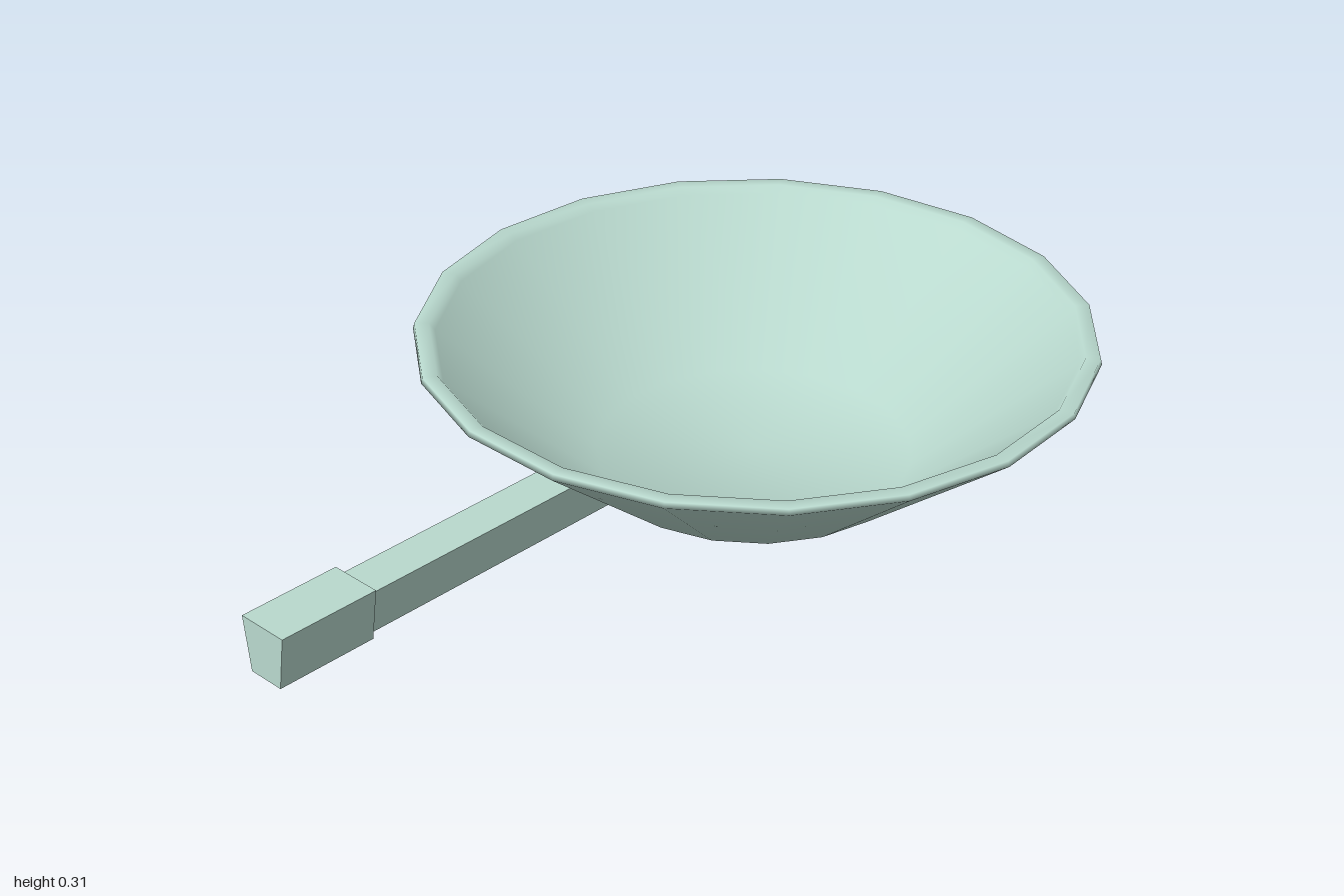
import * as THREE from 'three';

const SIDES = 19;

// Box whose corners are moved: narrower underside, optional slanted rear end
function taperedBar(halfTop, halfBottom, yBottom, yTop, zBackBottom, zBackTop, zFront) {
  const geometry = new THREE.BoxGeometry(1, 1, 1);
  const p = geometry.attributes.position;
  for (let i = 0; i < p.count; i++) {
    const top = p.getY(i) > 0;
    const half = top ? halfTop : halfBottom;
    const back = top ? zBackTop : zBackBottom;
    p.setXYZ(i, Math.sign(p.getX(i)) * half, top ? yTop : yBottom, p.getZ(i) > 0 ? zFront : back);
  }
  geometry.computeVertexNormals();
  return geometry;
}

export function createModel() {
  const group = new THREE.Group();
  const material = new THREE.MeshStandardMaterial({ color: 0xb9d9ce });
  const add = (name, geometry) => {
    const mesh = new THREE.Mesh(geometry, material);
    mesh.name = name;
    group.add(mesh);
    return mesh;
  };

  // Bowl: outer wall, rim, then inner wall down to the floor
  const profile = [
    [0, 0], [0.34, 0], [0.7, 0.293], [0.697, 0.305],
    [0.667, 0.305], [0.655, 0.29], [0.33, 0.02], [0, 0.02],
  ].map(([r, y]) => new THREE.Vector2(r, y));
  // A corner points backwards, a flat side faces the handle
  const bowl = add('panBowl', new THREE.LatheGeometry(profile, SIDES, Math.PI, Math.PI * 2));
  bowl.position.z = -0.3;

  // Handle: slim shaft set into the sloping wall, thicker grip at the end
  add('handleShaft', taperedBar(0.045, 0.032, 0.1, 0.195, 0.14, 0.26, 0.79));
  add('handleGrip', taperedBar(0.056, 0.04, 0.092, 0.206, 0.78, 0.78, 1));

  return group;
}
